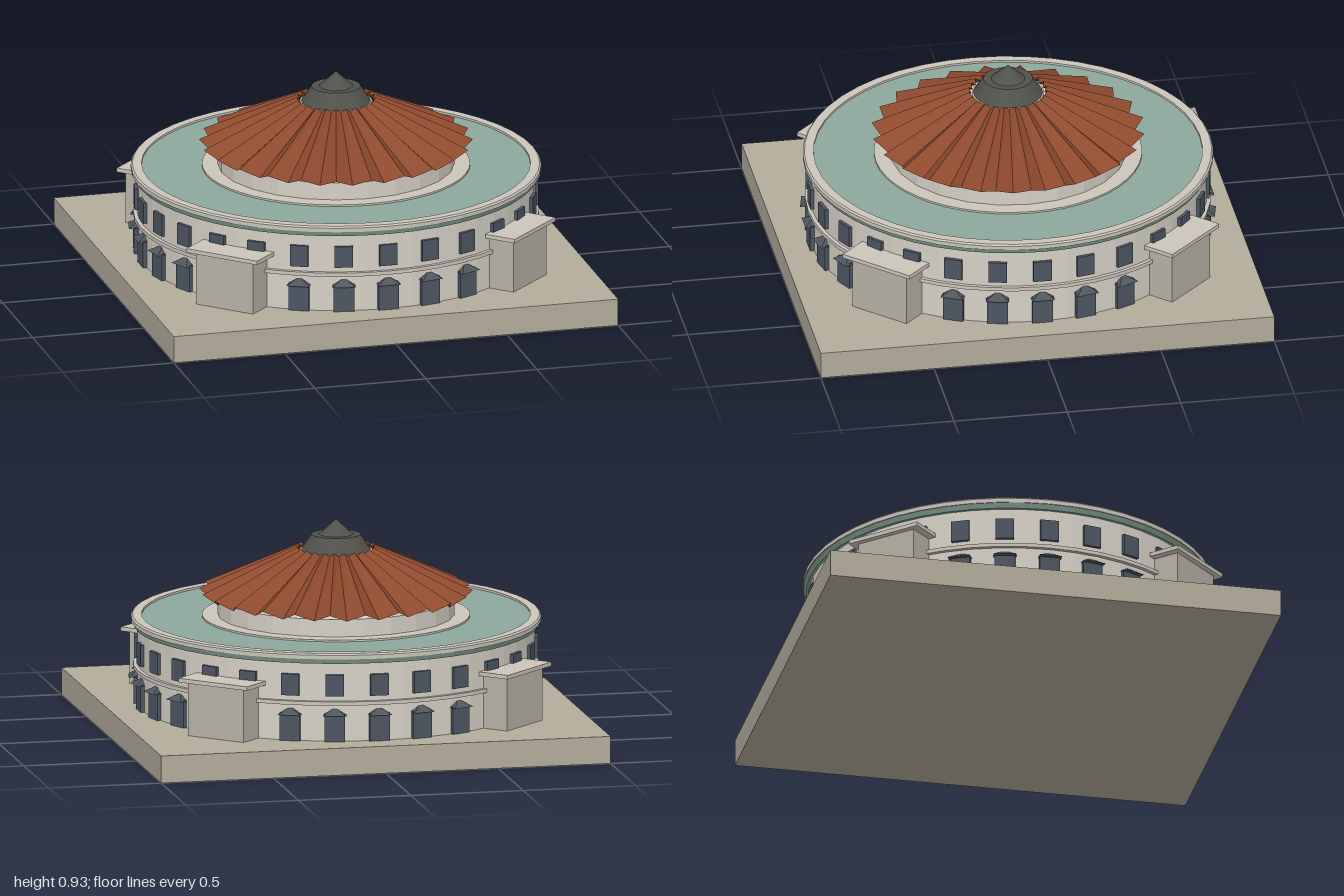
import * as THREE from 'three';

const mat = (color, side = THREE.FrontSide) =>
  new THREE.MeshStandardMaterial({ color, flatShading: true, side });

const ground = mat(0xb3ac9c), wall = mat(0xd6d1c6), stone = mat(0xb9b3a7), trim = mat(0xcbc5bb);
const green = mat(0x8ca89c), glass = mat(0x4d5662), hood = mat(0x50565e);
const rust = mat(0x8f4a2e, THREE.DoubleSide), slate = mat(0x52524c);

function add(parent, name, geometry, material, x = 0, y = 0, z = 0) {
  const mesh = new THREE.Mesh(geometry, material);
  mesh.name = name;
  mesh.position.set(x, y, z);
  parent.add(mesh);
  return mesh;
}

// Upright round part between two heights
function round(parent, name, rBottom, rTop, y0, y1, material, sides = 48) {
  return add(parent, name, new THREE.CylinderGeometry(rTop, rBottom, y1 - y0, sides), material, 0, (y0 + y1) / 2);
}

// Group turned about the centre; its +z points outwards
function spoke(parent, name, angle) {
  const g = new THREE.Group();
  g.name = name;
  g.rotation.y = angle;
  parent.add(g);
  return g;
}

// Folded roof: ridges and valleys alternate around the circle
function pleatedRoof(folds) {
  const geo = new THREE.CylinderGeometry(1, 1, 1, folds * 2, 1, true);
  const p = geo.attributes.position;
  for (let i = 0; i < p.count; i++) {
    const step = i % (folds * 2 + 1);
    const ridge = step % 2 === 0;
    const a = step * Math.PI / folds;
    const top = p.getY(i) > 0;
    const r = top ? (ridge ? 0.172 : 0.158) : (ridge ? 0.595 : 0.545);
    const y = top ? (ridge ? 0.812 : 0.795) : (ridge ? 0.62 : 0.585);
    p.setXYZ(i, Math.sin(a) * r, y, Math.cos(a) * r);
  }
  geo.computeVertexNormals();
  return geo;
}

export function createModel() {
  const model = new THREE.Group();
  model.name = 'roundHall';

  // Plinth and round wall
  add(model, 'plinth', new THREE.BoxGeometry(2, 0.12, 2), ground, 0, 0.06, 0);
  round(model, 'wall', 0.865, 0.865, 0.12, 0.48, wall);
  round(model, 'stringCourse', 0.882, 0.882, 0.28, 0.297, trim);

  // Cornice, parapet ring and flat roof
  round(model, 'cornice', 0.878, 0.888, 0.465, 0.487, green);
  const ring = [[0.845, 0.487], [0.892, 0.487], [0.892, 0.505], [0.885, 0.512], [0.845, 0.512], [0.845, 0.487]];
  add(model, 'parapet', new THREE.LatheGeometry(ring.map(([x, y]) => new THREE.Vector2(x, y)), 48), trim);
  round(model, 'flatRoof', 0.848, 0.848, 0.47, 0.503, green);

  // Drum under the folded roof
  round(model, 'drumStep', 0.583, 0.583, 0.49, 0.511, trim);
  round(model, 'drum', 0.515, 0.515, 0.5, 0.588, wall, 24);
  add(model, 'pleatedRoof', pleatedRoof(24), rust);

  // Lantern at the peak
  round(model, 'lanternCollar', 0.158, 0.158, 0.77, 0.797, trim, 24);
  round(model, 'lantern', 0.155, 0.107, 0.79, 0.865, slate, 24);
  add(model, 'finial', new THREE.ConeGeometry(0.075, 0.067, 16), slate, 0, 0.8975, 0);

  // Two rows of windows; the lower row leaves room for the corner blocks
  const count = 28;
  const upper = new THREE.BoxGeometry(0.08, 0.095, 0.03);
  const lower = new THREE.BoxGeometry(0.09, 0.125, 0.04);
  const pyramid = new THREE.ConeGeometry(0.05 * Math.SQRT2, 0.033, 4);
  pyramid.rotateY(Math.PI / 4);
  for (let i = 0; i < count; i++) {
    const bay = spoke(model, 'windowBay', i * 2 * Math.PI / count);
    add(bay, 'upperWindow', upper, glass, 0, 0.368, 0.863);
    const k = i % 7;
    if (k === 3 || k === 4) continue;
    add(bay, 'lowerWindow', lower, glass, 0, 0.18, 0.86);
    add(bay, 'windowHood', pyramid, hood, 0, 0.253, 0.852);
  }

  // Four corner blocks with cap slabs
  for (let i = 0; i < 4; i++) {
    const corner = spoke(model, 'cornerBlock', Math.PI / 4 + i * Math.PI / 2);
    add(corner, 'blockBody', new THREE.BoxGeometry(0.286, 0.24, 0.13), stone, 0, 0.24, 0.907);
    add(corner, 'blockCap', new THREE.BoxGeometry(0.354, 0.018, 0.147), trim, 0, 0.366, 0.9235);
  }
  return model;
}
